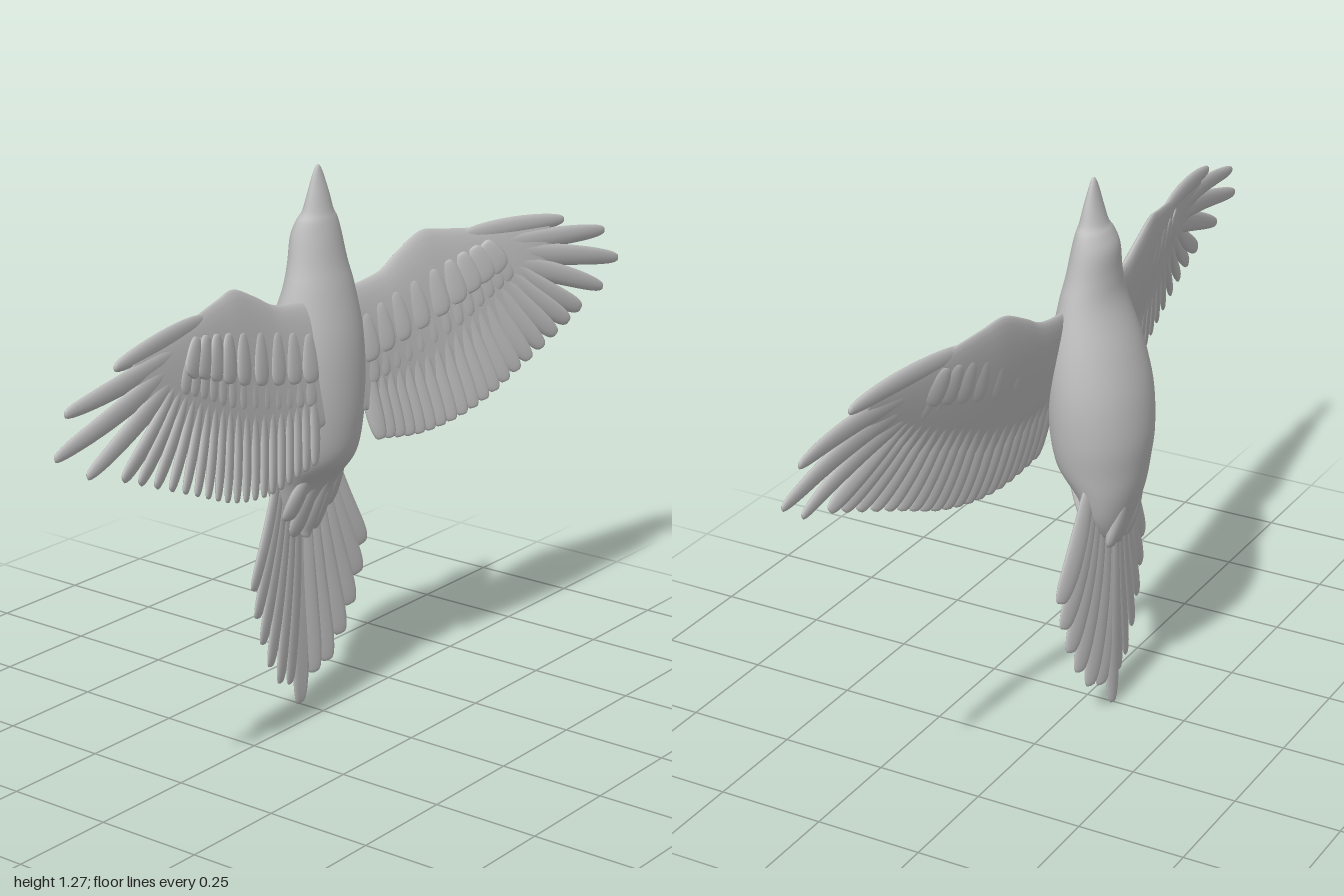
import * as THREE from 'three';
import { mergeVertices } from 'three/addons/utils/BufferGeometryUtils.js';

const V = (x, y, z = 0) => new THREE.Vector3(x, y, z);
const lerp = THREE.MathUtils.lerp;
const spline = (pts) => new THREE.CatmullRomCurve3(pts, false, 'catmullrom', 0.5);

// Closed skin through rings of points that turn counter-clockwise about the sweep.
function loft(rings) {
  const n = rings[0].length;
  const pos = rings.flat().flatMap((p) => [p.x, p.y, p.z]);
  const idx = [];
  for (let i = 0; i < rings.length - 1; i++) {
    for (let j = 0; j < n; j++) {
      const k = (j + 1) % n;
      const a = i * n + j, b = i * n + k, c = b + n, d = a + n;
      idx.push(a, b, c, a, c, d);
    }
  }
  for (const end of [0, rings.length - 1]) {
    const mid = rings[end].reduce((s, p) => s.add(p), V(0, 0)).divideScalar(n);
    const m = pos.push(mid.x, mid.y, mid.z) / 3 - 1;
    for (let j = 0; j < n; j++) {
      const a = end * n + j, b = end * n + ((j + 1) % n);
      if (end === 0) idx.push(b, a, m); else idx.push(a, b, m);
    }
  }
  const g = new THREE.BufferGeometry();
  g.setAttribute('position', new THREE.Float32BufferAttribute(pos, 3));
  g.setIndex(idx);
  g.computeVertexNormals();
  return g;
}

// Flat rounded feather from base to tip, laid on the surface z = sheet(x, y).
function feather(base, tip, { width, thick = 0.009, lift = 0, tilt = 0, bow = 0, root = 0.6, sheet }) {
  const g = new THREE.SphereGeometry(1, 12, 20);
  const up = base.clone().sub(tip).normalize();
  const side = V(up.y, -up.x);
  const p = g.attributes.position;
  for (let i = 0; i < p.count; i++) {
    const t = (1 - p.getY(i)) / 2;
    const r = Math.hypot(p.getX(i), p.getZ(i));
    const fat = r > 1e-5 ? Math.pow(r, -0.45) : 0;
    const across = p.getX(i) * fat * width * lerp(root, 1, t);
    const q = base.clone().lerp(tip, t).addScaledVector(side, across + bow * Math.sin(Math.PI * t));
    p.setXYZ(i, q.x, q.y, sheet(q.x, q.y) + lift + across * tilt + p.getZ(i) * fat * thick);
  }
  g.deleteAttribute('uv');
  g.deleteAttribute('normal');
  const out = mergeVertices(g, 1e-5);
  out.computeVertexNormals();
  return out;
}

// Wings sweep forward toward the tips and toward the trailing edge.
const wingSheet = (x, y) => {
  const a = Math.abs(x);
  return 0.01 + (1 - y) * 0.17 + 0.1 * THREE.MathUtils.smoothstep(a, 0.1, 0.9);
};
// Tail fan is bowed, with its outer feathers forward.
const tailSheet = (x) => -0.066 + 0.13 * Math.abs(x);

export function createModel() {
  const model = new THREE.Group();
  const plumage = new THREE.MeshStandardMaterial({ color: 0xc0c0c0 });
  plumage.name = 'plain grey';
  const add = (parent, name, geometry) => {
    const mesh = new THREE.Mesh(geometry, plumage);
    mesh.name = name;
    parent.add(mesh);
  };
  const group = (name) => {
    const g = new THREE.Group();
    g.name = name;
    model.add(g);
    return g;
  };

  // Body, head and beak: y, half width, front z, back z
  const rows = [
    [0.425, 0.02, -0.05, -0.085], [0.45, 0.05, -0.035, -0.095], [0.5, 0.082, -0.015, -0.112],
    [0.56, 0.103, 0.015, -0.13], [0.62, 0.12, 0.058, -0.141], [0.7, 0.135, 0.073, -0.149],
    [0.8, 0.14, 0.076, -0.141], [0.9, 0.127, 0.07, -0.116], [1.0, 0.1, 0.052, -0.08],
    [1.06, 0.082, 0.038, -0.071], [1.12, 0.069, 0.027, -0.068], [1.155, 0.057, 0.019, -0.055],
    [1.175, 0.043, 0.013, -0.044], [1.21, 0.032, 0.005, -0.034], [1.25, 0.018, -0.005, -0.025],
    [1.27, 0.008, -0.01, -0.02], [1.276, 0.002, -0.014, -0.016],
  ];
  const front = spline(rows.map(([y, w, f]) => V(w, y, f)));
  const back = spline(rows.map(([y, w, , b]) => V(w, y, b)));
  const bodyRings = [];
  for (let i = 0; i <= 80; i++) {
    const f = front.getPoint(i / 80), b = back.getPoint(i / 80);
    const ring = [];
    for (let j = 0; j < 40; j++) {
      const a = (j / 40) * Math.PI * 2;
      ring.push(V(f.x * Math.cos(a), f.y, (f.z + b.z) / 2 - ((f.z - b.z) / 2) * Math.sin(a)));
    }
    bodyRings.push(ring);
  }
  add(model, 'body', loft(bodyRings));

  // Wing plan: x, leading y, trailing y, half thickness
  const plan = [
    [0.05, 0.99, 0.72, 0.02], [0.18, 1.004, 0.7, 0.021], [0.25, 1.037, 0.7, 0.021], [0.33, 1.071, 0.7, 0.02],
    [0.4, 1.064, 0.72, 0.018], [0.5, 1.051, 0.76, 0.016], [0.6, 1.043, 0.8, 0.013], [0.7, 1.034, 0.87, 0.01],
    [0.74, 1.028, 0.93, 0.007],
  ];
  const edge = spline(plan.map(([x, top, bot]) => V(x, top, bot)));
  const flesh = spline(plan.map(([x, , , h]) => V(x, h)));
  const bases = spline([V(0.1, 0.9), V(0.22, 0.93), V(0.36, 0.96), V(0.46, 0.98), V(0.54, 0.99)]);
  const tips = spline([V(0.12, 0.64), V(0.27, 0.622), V(0.43, 0.645), V(0.6, 0.712), V(0.82, 0.805)]);
  // Long flight feathers at the tip: base x, base y, tip x, tip y, half width
  const primaries = [
    [0.5, 0.98, 0.92, 0.837, 0.022], [0.5, 0.99, 1.0, 0.892, 0.022],
    [0.5, 1.0, 0.955, 0.968, 0.021], [0.45, 1.035, 0.795, 1.022, 0.02],
  ];

  for (const s of [1, -1]) {
    const wing = group(s > 0 ? 'leftWing' : 'rightWing');
    const at = (p) => V(s * p.x, p.y);

    const rings = [];
    for (let i = 0; i <= 40; i++) {
      const e = edge.getPoint(i / 40), h = flesh.getPoint(i / 40).y;
      const ring = [];
      for (let j = 0; j < 28; j++) {
        const a = (j / 28) * Math.PI * 2;
        const c = (1 - Math.cos(a)) / 2;
        const y = lerp(e.y, e.z, c);
        ring.push(V(s * e.x, y, wingSheet(e.x, y) + h * Math.sin(a) * (1.15 - 0.75 * c)));
      }
      rings.push(ring);
    }
    if (s < 0) rings.reverse();
    add(wing, 'wingArm', loft(rings));

    for (let i = 0; i < 19; i++) {
      const t = i / 18;
      add(wing, 'flightFeather', feather(at(bases.getPoint(t)), at(tips.getPoint(t)),
        { width: 0.028, thick: 0.01, tilt: s * 0.25, bow: -s * 0.01, sheet: wingSheet }));
    }
    primaries.forEach(([bx, by, tx, ty, width]) =>
      add(wing, 'tipFeather', feather(V(s * bx, by), V(s * tx, ty),
        { width, thick: 0.01, tilt: s * 0.15, bow: s * 0.006, root: 1.3, sheet: wingSheet })));

    // Covert rows on the front and back: count, reach down the wing, half width, lift
    for (const [count, reach, width, lift] of [[13, 0.5, 0.034, 0.007], [9, 0.3, 0.04, 0.013]]) {
      for (const face of [1, -1]) {
        for (let i = 0; i < count; i++) {
          const t = i / (count - 1);
          const b = bases.getPoint(t * 0.9), q = tips.getPoint(t * 0.9);
          const tip = b.clone().lerp(q, reach * lerp(1, 0.65, t));
          b.y += 0.03;
          add(wing, 'covertFeather', feather(at(b), at(tip),
            { width, thick: 0.008, lift: face * lift * (face > 0 ? 1 : 0.7), tilt: s * 0.1, sheet: wingSheet }));
        }
      }
    }
  }

  // Tail fan: base x, base y, tip x, tip y; outer feathers last
  const tail = group('tail');
  const fan = [
    [0.015, 0.55, 0.045, 0.068], [0.03, 0.56, 0.088, 0.085], [0.045, 0.57, 0.13, 0.14],
    [0.06, 0.58, 0.162, 0.205], [0.075, 0.59, 0.185, 0.275], [0.09, 0.6, 0.198, 0.345],
  ];
  add(tail, 'middleTailFeather', feather(V(0, 0.55), V(0, 0.003),
    { width: 0.036, thick: 0.009, lift: -0.002, sheet: tailSheet }));
  for (const s of [1, -1]) {
    for (const [bx, by, tx, ty] of fan) {
      add(tail, 'tailFeather', feather(V(s * bx, by), V(s * tx, ty),
        { width: 0.036, thick: 0.009, tilt: s * 0.12, bow: s * -0.012, sheet: tailSheet }));
    }
  }

  // Short feathers under and over the tail root
  const rootSheet = (x, y) => -0.045 + Math.max(0, y - 0.43) * 0.38 - Math.abs(x) * 0.2;
  for (const [x, y] of [[0, 0.415], [0.04, 0.425], [-0.04, 0.425], [0.075, 0.475], [-0.075, 0.475]]) {
    add(tail, 'underTailCovert', feather(V(x * 0.8, 0.6), V(x, y),
      { width: 0.028, thick: 0.012, sheet: rootSheet }));
  }
  for (const x of [-0.035, 0.035]) {
    add(tail, 'upperTailCovert', feather(V(x, 0.56), V(x, 0.425),
      { width: 0.03, thick: 0.016, sheet: (u, v) => -0.078 - Math.max(0, v - 0.43) * 0.25 }));
  }
  return model;
}
